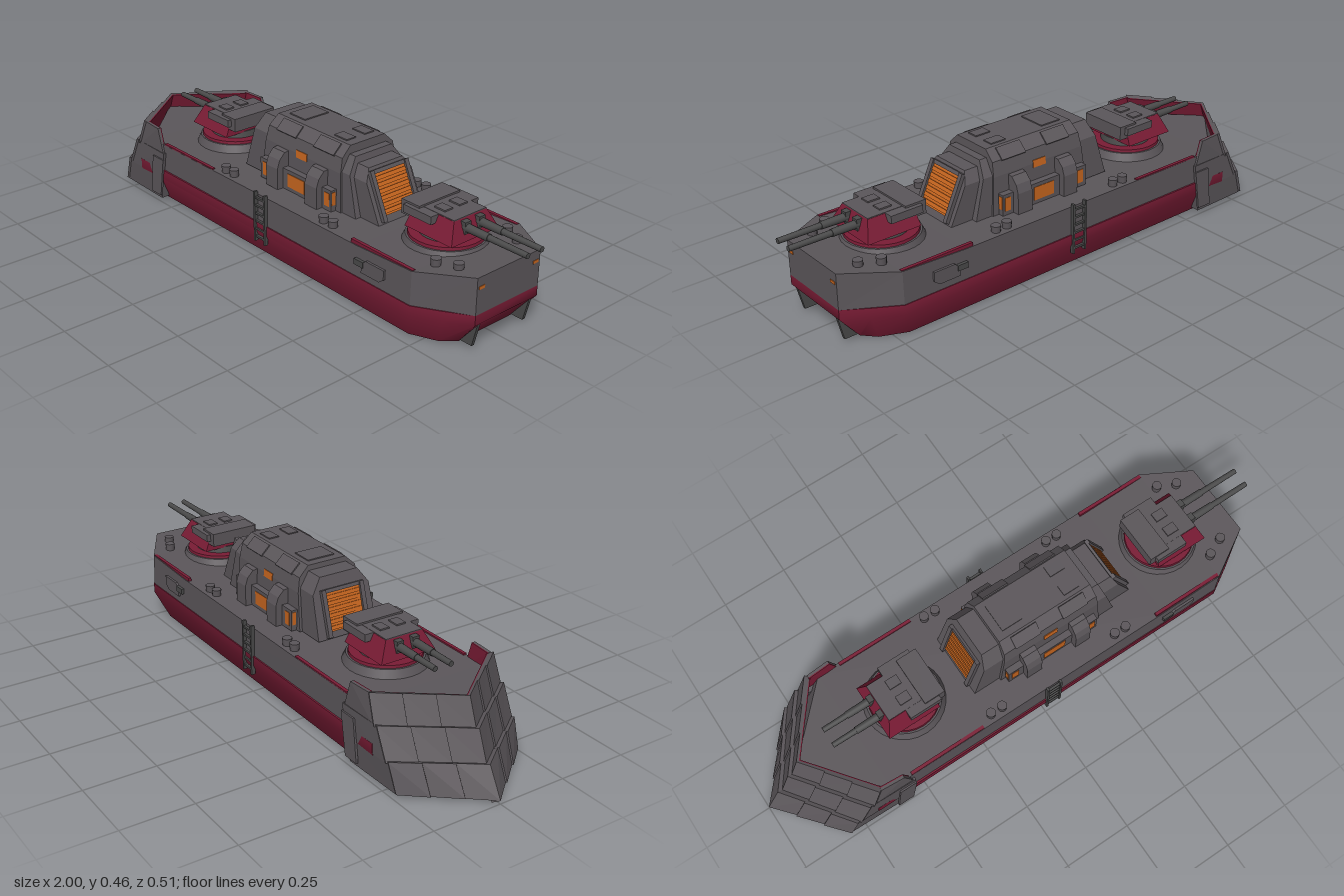
import * as THREE from 'three';
import { toCreasedNormals } from 'three/addons/utils/BufferGeometryUtils.js';

const paint = (name, color) => {
  const m = new THREE.MeshStandardMaterial({ color });
  m.name = name;
  return m;
};
const grey = paint('hull grey', 0x5b565a);
const dark = paint('gun metal', 0x4a4a4a);
const red = paint('deep red', 0x7a1c35);
const orange = paint('window orange', 0xc8661f);

const lerp = THREE.MathUtils.lerp;

// Flat faced geometry from a list of four-cornered faces.
function fromQuads(quads) {
  const pos = [];
  for (const [a, b, c, d] of quads) pos.push(...a, ...b, ...c, ...a, ...c, ...d);
  const g = new THREE.BufferGeometry();
  g.setAttribute('position', new THREE.Float32BufferAttribute(pos, 3));
  g.computeVertexNormals();
  return g;
}

// Stacks symmetric plan outlines; each ring lists [x, z, y] from stern to bow.
function loft(rings) {
  const quads = [], flip = ([x, y, z]) => [x, y, -z];
  const pts = rings.map(r => r.map(([x, z, y]) => [x, y, z]));
  const full = pts.map(h => [...h, ...h.map(flip).reverse()]);
  for (let k = 0; k + 1 < full.length; k++) {
    const lo = full[k], up = full[k + 1], n = lo.length;
    for (let i = 0; i < n; i++) {
      const j = (i + 1) % n;
      quads.push([lo[j], lo[i], up[i], up[j]]);
    }
  }
  const b = pts[0], t = pts[pts.length - 1];
  for (let i = 0; i + 1 < b.length; i++) {
    quads.push([t[i], flip(t[i]), flip(t[i + 1]), t[i + 1]]);
    quads.push([b[i], b[i + 1], flip(b[i + 1]), flip(b[i])]);
  }
  return fromQuads(quads);
}

// Plate between two offsets from a four-cornered face.
function slab(corners, from, to) {
  const v = corners.map(c => new THREE.Vector3(...c));
  const n = v[2].clone().sub(v[0]).cross(v[3].clone().sub(v[1])).normalize();
  const f = v.map(p => p.clone().addScaledVector(n, to).toArray());
  const b = v.map(p => p.clone().addScaledVector(n, from).toArray());
  const quads = [f, [...b].reverse()];
  for (let i = 0; i < 4; i++) quads.push([b[i], b[(i + 1) % 4], f[(i + 1) % 4], f[i]]);
  return fromQuads(quads);
}

// Symmetric [z, y] half section run along x; each end slants from low to high.
function prism(half, [aLow, aTop], [bLow, bTop]) {
  const pts = [...half, ...half.map(([z, y]) => [-z, y]).reverse()];
  const shape = new THREE.Shape(pts.map(p => new THREE.Vector2(...p)));
  const g = new THREE.ExtrudeGeometry(shape, { depth: 1, bevelEnabled: false });
  const y0 = half[0][1], y1 = half[half.length - 1][1], p = g.attributes.position;
  for (let i = 0; i < p.count; i++) {
    const t = (p.getY(i) - y0) / (y1 - y0);
    p.setXYZ(i, lerp(lerp(aLow, aTop, t), lerp(bLow, bTop, t), p.getZ(i)), p.getY(i), -p.getX(i));
  }
  g.computeVertexNormals();
  return g;
}

// Box given by its limits on each axis.
const box = (x0, x1, y0, y1, z0, z1) => new THREE.BoxGeometry(x1 - x0, y1 - y0, z1 - z0)
  .translate((x0 + x1) / 2, (y0 + y1) / 2, (z0 + z1) / 2);
const drum = (rTop, rLow, y0, y1, x = 0, z = 0, n = 28) =>
  new THREE.CylinderGeometry(rTop, rLow, y1 - y0, n).translate(x, (y0 + y1) / 2, z);

function add(group, name, geo, mat) {
  const m = new THREE.Mesh(geo, mat);
  m.name = name;
  group.add(m);
}

// Adds a part and its copy mirrored across the centre line.
function addPair(group, name, geo, mat) {
  const g = geo.index ? geo.toNonIndexed() : geo.clone();
  for (const key of ['position', 'normal']) {
    const a = g.attributes[key], p = new THREE.Vector3(), q = new THREE.Vector3();
    for (let i = 0; i < a.count; i += 3) {
      for (let k = 0; k < 3; k++) a.setZ(i + k, -a.getZ(i + k));
      p.fromBufferAttribute(a, i + 1);
      q.fromBufferAttribute(a, i + 2);
      a.setXYZ(i + 1, q.x, q.y, q.z);
      a.setXYZ(i + 2, p.x, p.y, p.z);
    }
  }
  add(group, name + 'Left', geo, mat);
  add(group, name + 'Right', g, mat);
}

function makeTurret(name, x, dir, reach) {
  const t = new THREE.Group();
  t.name = name;
  add(t, 'turretPlatform', drum(0.13, 0.145, 0.23, 0.264), grey);
  add(t, 'turretRing', drum(0.122, 0.124, 0.26, 0.274), red);
  add(t, 'turretCollar', drum(0.085, 0.09, 0.27, 0.296), dark);
  add(t, 'turretBody', prism([[0.106, 0.293], [0.072, 0.36]], [-0.08, -0.07], [0.12, 0.094]), red);
  add(t, 'turretRoof', box(-0.06, 0.094, 0.355, 0.363, -0.071, 0.071), grey);
  add(t, 'rearBlock', box(-0.112, -0.035, 0.32, 0.369, -0.09, 0.09), grey);
  addPair(t, 'turretEar', box(-0.09, 0.03, 0.335, 0.362, 0.06, 0.105), grey);
  addPair(t, 'roofHatch', box(-0.01, 0.035, 0.36, 0.368, 0.015, 0.05), grey);
  // Barrels with mantlet and sleeve
  const tube = (r, a, b) => new THREE.CylinderGeometry(r * 0.85, r, b - a, 14)
    .rotateZ(-Math.PI / 2).translate((a + b) / 2, 0.334, 0.031);
  addPair(t, 'mantlet', box(0.07, 0.116, 0.315, 0.355, 0.018, 0.044), dark);
  addPair(t, 'barrelSleeve', tube(0.015, 0.06, 0.2), dark);
  addPair(t, 'barrel', tube(0.011, 0.15, reach), dark);
  t.position.x = x;
  if (dir < 0) t.rotation.y = Math.PI;
  return t;
}

// Stepped armour around the bow, three tiers of [x, z] rails at two heights.
function makeBowArmour() {
  const g = new THREE.Group();
  g.name = 'bowArmour';
  const tiers = [
    { y: [0.012, 0.11], low: [[-0.57, 0.24], [-0.8, 0.235], [-1, 0]], top: [[-0.56, 0.246], [-0.765, 0.242], [-0.945, 0]], back: -0.028 },
    { y: [0.1, 0.205], low: [[-0.55, 0.246], [-0.755, 0.243], [-0.93, 0]], top: [[-0.535, 0.247], [-0.705, 0.243], [-0.888, 0]], back: -0.03 },
    { y: [0.195, 0.293], low: [[-0.54, 0.244], [-0.692, 0.243], [-0.875, 0]], top: [[-0.57, 0.243], [-0.655, 0.237], [-0.838, 0]], back: -0.008 },
  ];
  tiers.forEach(({ y, low, top, back }, k) => {
    const at = (r, h, s, t) => [lerp(r[s][0], r[s + 1][0], t), h, lerp(r[s][1], r[s + 1][1], t)];
    for (let s = 0; s < 2; s++) {
      const n = s ? 3 : 1;
      for (let i = 0; i < n; i++) {
        const [u, v] = [i / n, (i + 1) / n];
        const face = [at(low, y[0], s, v), at(low, y[0], s, u), at(top, y[1], s, u), at(top, y[1], s, v)];
        addPair(g, 'armourPlate', slab(face, back, s ? [0.01, 0.005, 0][i] : 0.002), grey);
        if (k === 2) addPair(g, 'bulwarkLining', slab(face, back - 0.004, back), red);
      }
    }
  });
  addPair(g, 'sidePlate', slab([[-0.62, 0.03, 0.246], [-0.56, 0.03, 0.246], [-0.535, 0.18, 0.246], [-0.6, 0.18, 0.246]], 0, 0.008), grey);
  return g;
}

function makeBridge() {
  const g = new THREE.Group();
  g.name = 'bridge';
  add(g, 'bridgeCore', prism([[0.1, 0.24], [0.1, 0.37], [0.075, 0.41]], [-0.18, -0.12], [0.45, 0.372]), grey);
  add(g, 'forwardHood', prism([[0.118, 0.24], [0.112, 0.39], [0.075, 0.442]], [-0.21, -0.15], [0, 0]), grey);
  add(g, 'mainHousing', prism([[0.128, 0.24], [0.122, 0.375], [0.112, 0.425], [0.075, 0.46]], [-0.11, -0.08], [0.3, 0.285]), grey);
  add(g, 'aftFrame', prism([[0.122, 0.24], [0.116, 0.38], [0.08, 0.432]], [0.28, 0.28], [0.365, 0.315]), grey);
  // Windows with orange louvres on both slopes
  for (const [lx, tx, ty, name] of [[0.45, 0.372, 0.41, 'aftWindow'], [-0.21, -0.15, 0.442, 'forwardWindow']]) {
    const at = (y, z) => [lerp(lx, tx, (y - 0.24) / (ty - 0.24)), y, z], s = Math.sign(lx);
    const strip = (y0, y1, z) => [at(y0, z * s), at(y0, -z * s), at(y1, -z * s), at(y1, z * s)];
    add(g, name, slab(strip(0.262, 0.388, 0.068), 0, 0.005), orange);
    for (let i = 0; i < 6; i++) {
      const y = 0.268 + i * 0.02;
      add(g, name + 'Louvre', slab(strip(y, y + 0.012, 0.066), 0, 0.009), orange);
    }
    add(g, name + 'Lintel', slab(strip(0.388, 0.4, 0.08), 0, 0.009), grey);
    const edge = (a, b) => [at(0.245, a), at(0.245, b), at(0.4, b), at(0.4, a)];
    addPair(g, name + 'Post', slab(s > 0 ? edge(0.084, 0.068) : edge(0.068, 0.084), 0, 0.014), grey);
  }
  // Side galleries with rounded brackets and lit windows
  addPair(g, 'sideGallery', box(-0.09, 0.275, 0.24, 0.315, 0.11, 0.148), grey);
  const arch = new THREE.Shape([[0.1, 0.24], [0.172, 0.24], [0.172, 0.315], [0.162, 0.345], [0.14, 0.368], [0.1, 0.372]].map(p => new THREE.Vector2(...p)));
  for (const x of [-0.03, 0.17]) {
    const bracket = new THREE.ExtrudeGeometry(arch, { depth: 0.06, bevelEnabled: false });
    addPair(g, 'galleryBracket', bracket.rotateY(-Math.PI / 2).translate(x + 0.06, 0, 0), grey);
  }
  addPair(g, 'galleryWindow', box(0.055, 0.142, 0.254, 0.302, 0.146, 0.1495), orange);
  for (const [a, b] of [[-0.077, -0.05], [0.242, 0.266]]) addPair(g, 'smallWindow', box(a, b, 0.255, 0.303, 0.146, 0.1495), orange);
  for (const x of [-0.092, 0.273]) addPair(g, 'endWindow', box(x, x + 0.004, 0.262, 0.308, 0.131, 0.145), orange);
  addPair(g, 'upperWindow', slab([[0.07, 0.36, 0.1227], [0.124, 0.36, 0.1227], [0.124, 0.386, 0.1205], [0.07, 0.386, 0.1205]], -0.002, 0.002), orange);
  // Roof and shoulder panels
  const shoulder = (a, b) => [[a, 0.422, 0.115], [b, 0.422, 0.115], [b, 0.455, 0.081], [a, 0.455, 0.081]];
  addPair(g, 'shoulderPanel', slab(shoulder(-0.04, 0.06), -0.002, 0.004), grey);
  addPair(g, 'shoulderPanel', slab(shoulder(0.15, 0.25), -0.002, 0.004), grey);
  add(g, 'roofPanel', box(-0.05, 0.03, 0.455, 0.464, -0.055, 0.05), grey);
  addPair(g, 'roofVent', box(0.19, 0.25, 0.455, 0.464, 0.02, 0.06), grey);
  return g;
}

export function createModel() {
  const ship = new THREE.Group();
  ship.name = 'warship';

  // Hull: red below, grey above
  const ring = (pts, y) => pts.map(p => [...p, y]);
  const keel = [[0.83, 0.12, 0.002], [0.79, 0.165, 0.002], [0.7, 0.205, 0.002], [-0.72, 0.205, 0.002], [-0.95, 0, 0.002]];
  const chine = [[0.91, 0.14], [0.83, 0.193], [0.74, 0.247], [-0.69, 0.247], [-0.9, 0]];
  const belt = [[0.91, 0.14], [0.74, 0.244], [0.5, 0.244], [-0.69, 0.24], [-0.89, 0]];
  const deck = [[0.91, 0.14, 0.262], [0.74, 0.241, 0.25], [0.5, 0.241, 0.24], [-0.62, 0.238, 0.235], [-0.85, 0, 0.235]];
  add(ship, 'lowerHull', toCreasedNormals(loft([keel, ring(chine, 0.1), ring(chine, 0.135)]), 0.75), red);
  add(ship, 'upperHull', loft([ring(belt, 0.135), deck]), grey);
  for (const [a, b, y] of [[-0.54, -0.25, 0.241], [0.47, 0.74, 0.252]]) addPair(ship, 'deckEdgeStripe', box(a, b, 0.232, y, 0.226, 0.238), red);

  ship.add(makeBowArmour(), makeBridge());
  ship.add(makeTurret('bowTurret', -0.42, -1, 0.29), makeTurret('sternTurret', 0.65, 1, 0.35));

  // Deck bollards
  for (const [x, z] of [[-0.205, 0.21], [-0.16, 0.21], [0.31, 0.21], [0.355, 0.21], [0.76, 0.16], [0.825, 0.13]])
    addPair(ship, 'bollard', drum(0.017, 0.015, 0.23, x > 0.7 ? 0.276 : 0.262, x, z, 12), grey);

  // Side ladders
  for (const x of [0, 0.052]) addPair(ship, 'ladderRail', box(x, x + 0.008, 0.065, 0.25, 0.24, 0.254), dark);
  for (let i = 0; i < 6; i++) addPair(ship, 'ladderRung', box(0, 0.06, 0.08 + i * 0.029, 0.087 + i * 0.029, 0.243, 0.252), dark);

  // Side hatches
  const hatch = new THREE.Shape([[0.53, 0.16], [0.61, 0.16], [0.63, 0.175], [0.63, 0.208], [0.55, 0.208], [0.53, 0.19]].map(p => new THREE.Vector2(...p)));
  addPair(ship, 'sideHatch', new THREE.ExtrudeGeometry(hatch, { depth: 0.008, bevelEnabled: false }).translate(0, 0, 0.242), grey);
  addPair(ship, 'hatchHinge', box(0.5, 0.54, 0.18, 0.2, 0.24, 0.253), dark);

  // Stern lamps and rudder fins
  addPair(ship, 'sternLamp', box(0.908, 0.912, 0.221, 0.231, 0.108, 0.132), orange);
  const fin = new THREE.Shape([[0.8, 0.095], [0.905, 0.095], [0.885, 0.012], [0.84, 0.012]].map(p => new THREE.Vector2(...p)));
  addPair(ship, 'rudderFin', new THREE.ExtrudeGeometry(fin, { depth: 0.012, bevelEnabled: false }).translate(0, 0, 0.11), dark);

  return ship;
}
